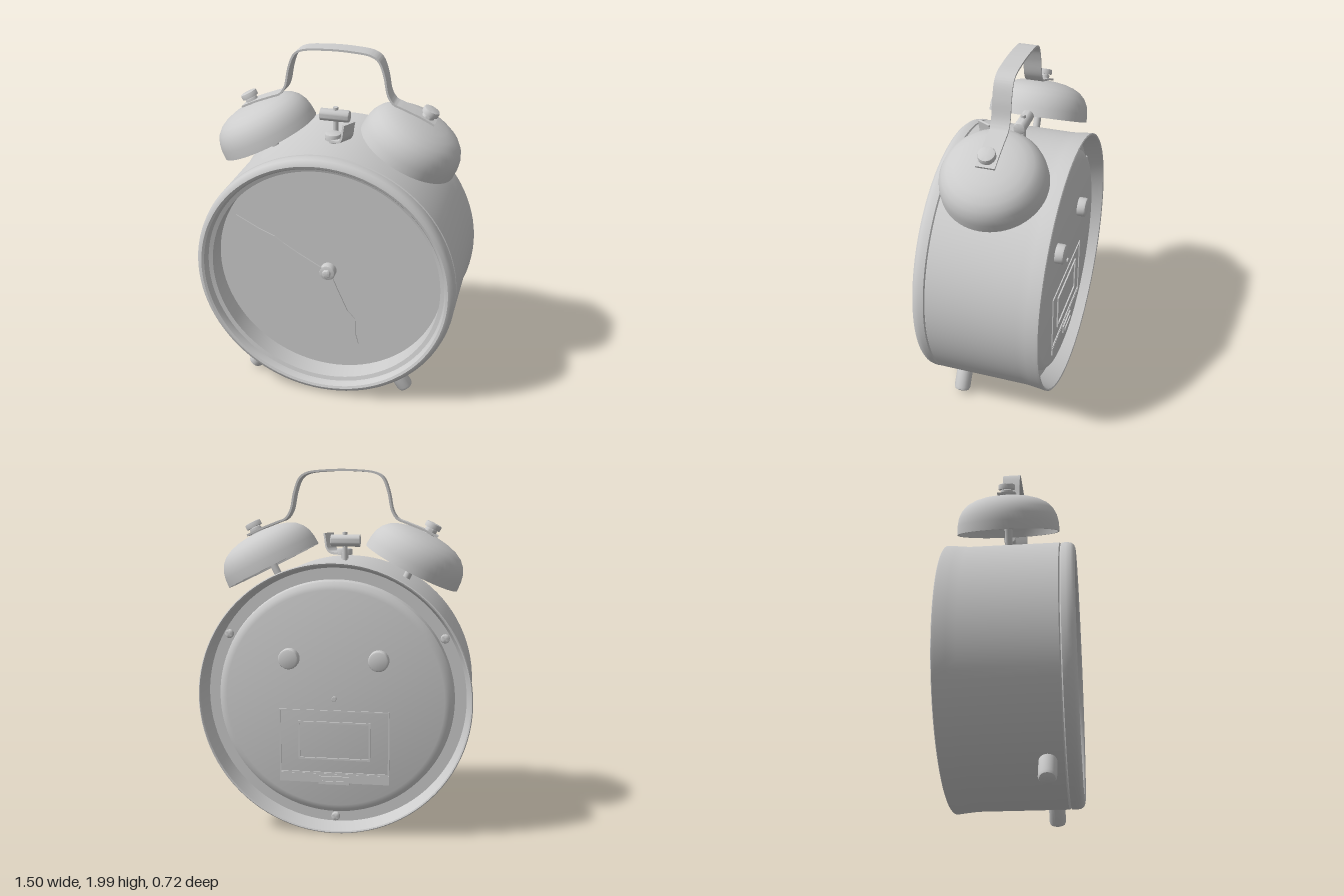
import * as THREE from 'three';
import { toCreasedNormals } from 'three/addons/utils/BufferGeometryUtils.js';

const metal = new THREE.MeshStandardMaterial({ color: 0xcccccc, side: THREE.DoubleSide });
metal.name = 'grey metal';
const CENTRE_Y = 0.76;

function add(parent, name, geometry, x = 0, y = 0, z = 0) {
  const mesh = new THREE.Mesh(geometry, metal);
  mesh.name = name;
  mesh.position.set(x, y, z);
  parent.add(mesh);
  return mesh;
}

function lathe(points, segments = 48) {
  const profile = points.map(([r, h]) => new THREE.Vector2(r, h));
  return toCreasedNormals(new THREE.LatheGeometry(profile, segments), 0.62);
}

// Disc or button with a softened top edge, standing on y = 0
function button(r, h, e = 0.008, segments = 24) {
  return lathe([[0, 0], [r, 0], [r, h - e], [r - e * 0.3, h - e * 0.3], [r - e, h], [0, h]], segments);
}

// Flat outline with a given thickness along z
function plate(points, depth, holes = []) {
  const shape = new THREE.Shape(points.map(([x, y]) => new THREE.Vector2(x, y)));
  holes.forEach(h => shape.holes.push(new THREE.Path(h.map(([x, y]) => new THREE.Vector2(x, y)))));
  return new THREE.ExtrudeGeometry(shape, { depth, bevelEnabled: false });
}

const rect = (x0, y0, x1, y1) => [[x0, y0], [x1, y0], [x1, y1], [x0, y1]];

// Bent metal strip: a smooth path in xy, thickened and given a width along z
function strip(points, thickness, width, samples = 64) {
  const curve = new THREE.CatmullRomCurve3(points.map(([x, y]) => new THREE.Vector3(x, y, 0)), false, 'centripetal');
  const outer = [], inner = [];
  for (let i = 0; i <= samples; i++) {
    const p = curve.getPoint(i / samples), t = curve.getTangent(i / samples);
    outer.push([p.x - t.y * thickness / 2, p.y + t.x * thickness / 2]);
    inner.unshift([p.x + t.y * thickness / 2, p.y - t.x * thickness / 2]);
  }
  const g = plate([...outer, ...inner], width).translate(0, 0, -width / 2);
  return toCreasedNormals(g, 0.6);
}

// Clock hand pointing up, from [half width, distance] pairs
function hand(half) {
  return plate([...half, ...half.slice().reverse().map(([w, d]) => [-w, d])], 0.008);
}

function buildCase(clock) {
  const parts = {
    backPanel: [[0, -0.31], [0.6, -0.31], [0.625, -0.303], [0.645, -0.285], [0.652, -0.25], [0.715, -0.25]],
    caseShell: [[0.715, -0.25], [0.725, -0.29], [0.738, -0.35], [0.745, -0.354], [0.75, -0.35], [0.75, -0.335],
      [0.744, -0.28], [0.739, -0.23], [0.739, 0.272], [0.73, 0.278]],
    bezel: [[0.73, 0.278], [0.738, 0.284], [0.74, 0.31], [0.735, 0.335], [0.723, 0.35], [0.706, 0.356],
      [0.692, 0.35], [0.683, 0.335], [0.68, 0.312], [0.657, 0.305], [0.655, 0.19]],
    dial: [[0.655, 0.19], [0, 0.19]],
  };
  for (const [name, profile] of Object.entries(parts))
    add(clock, name, lathe(profile, 96).rotateX(Math.PI / 2), 0, CENTRE_Y, 0);
}

function buildHands(clock) {
  const minute = hand([[0.012, 0], [0.01, 0.2], [0.014, 0.3], [0.021, 0.36], [0.008, 0.46], [0.003, 0.61]]);
  add(clock, 'minuteHand', minute, 0, CENTRE_Y, 0.225).rotation.z = Math.atan2(0.535, 0.3);
  const hour = hand([[0.012, 0], [0.014, 0.12], [0.02, 0.27], [0.045, 0.33], [0.012, 0.42], [0.003, 0.495]]);
  add(clock, 'hourHand', hour, 0, CENTRE_Y, 0.208).rotation.z = Math.atan2(-0.18, -0.46);
  add(clock, 'handHub', button(0.046, 0.045).rotateX(Math.PI / 2), 0, CENTRE_Y, 0.19);
  add(clock, 'handPin', button(0.024, 0.065).rotateX(Math.PI / 2), 0, CENTRE_Y, 0.19);
}

function buildBell(clock, side) {
  const bell = new THREE.Group();
  bell.name = side > 0 ? 'leftBell' : 'rightBell';
  bell.position.set(side * 0.392, 1.46, -0.01);
  bell.rotation.z = -side * 0.467;
  clock.add(bell);
  add(bell, 'bellDome', lathe([[0.275, 0], [0.284, 0], [0.281, 0.05], [0.272, 0.092], [0.252, 0.13], [0.222, 0.16],
    [0.18, 0.182], [0.13, 0.197], [0.07, 0.206], [0, 0.209]], 64));
  add(bell, 'bellPost', new THREE.CylinderGeometry(0.021, 0.021, 0.34, 20), 0, 0.04, 0);
  add(bell, 'lowerNut', button(0.034, 0.035), 0, 0.208, 0);
  add(bell, 'upperNut', button(0.046, 0.03), 0, 0.243, 0);
}

function buildHandle(clock) {
  const half = [[0.535, 1.632], [0.463, 1.667], [0.36, 1.708], [0.315, 1.727], [0.285, 1.77], [0.263, 1.87],
    [0.241, 1.934], [0.22, 1.962], [0.18, 1.981], [0.09, 1.991]];
  const path = [...half.map(([x, y]) => [-x, y]), [0, 1.994], ...half.slice().reverse()];
  add(clock, 'handle', strip(path, 0.011, 0.1, 110), 0, 0, -0.01);
}

function buildStriker(clock) {
  const z = -0.035;
  add(clock, 'strikerHead', button(0.034, 0.165).rotateZ(-Math.PI / 2), -0.105, 1.607, z);
  add(clock, 'strikerStem', new THREE.CylinderGeometry(0.014, 0.014, 0.19, 16), -0.02, 1.56, z);
  // Winged stop lever in front of the striker
  const lever = new THREE.Group();
  lever.name = 'stopLever';
  lever.position.set(0, 0, 0.09);
  lever.rotation.y = -0.5;
  clock.add(lever);
  const wing = [[-0.02, 1.527], [0.045, 1.527], [0.08, 1.535], [0.1, 1.56], [0.108, 1.6], [0.116, 1.64]];
  add(lever, 'leverWing', strip(wing, 0.012, 0.085, 24));
  add(lever, 'leverScrew', button(0.045, 0.035), 0, 1.52, 0);
  add(lever, 'leverPost', new THREE.CylinderGeometry(0.022, 0.022, 0.08, 16), 0, 1.49, 0);
}

function buildFoot(clock, side) {
  const foot = add(clock, side > 0 ? 'leftFoot' : 'rightFoot',
    button(0.047, 0.16, 0.022), side * 0.387, CENTRE_Y - 0.598, 0.19);
  foot.quaternion.setFromUnitVectors(new THREE.Vector3(0, 1, 0), new THREE.Vector3(side * 0.543, -0.84, 0).normalize());
}

function buildBack(clock) {
  const back = new THREE.Group();
  back.name = 'backDetails';
  clock.add(back);
  for (const x of [-0.245, 0.245])
    add(back, 'settingKnob', button(0.056, 0.05, 0.012).rotateX(-Math.PI / 2), x, 0.985, -0.31);
  // Battery door: raised border, window panel and latch
  const border = plate(rect(-0.305, 0.34, 0.305, 0.7), 0.006, [rect(-0.297, 0.348, 0.297, 0.692)]);
  add(back, 'batteryDoorBorder', border, 0, 0, -0.316);
  const windowFrame = plate(rect(-0.2, 0.42, 0.2, 0.635), 0.008, [rect(-0.19, 0.43, 0.19, 0.625)]);
  add(back, 'batteryWindowFrame', windowFrame, 0, 0, -0.318);
  add(back, 'batteryDoorLedge', new THREE.BoxGeometry(0.61, 0.05, 0.012), 0, 0.315, -0.312);
  add(back, 'batteryLatch', new THREE.BoxGeometry(0.17, 0.045, 0.024), 0, 0.305, -0.314);
  add(back, 'batteryLatchLip', new THREE.BoxGeometry(0.13, 0.014, 0.032), 0, 0.295, -0.316);
  add(back, 'doorScrew', button(0.014, 0.012, 0.004, 16).rotateX(-Math.PI / 2), 0, 0.765, -0.308);
  // Three screws around the rim
  for (const deg of [30, 150, 270]) {
    const a = THREE.MathUtils.degToRad(deg);
    add(back, 'rimScrew', button(0.024, 0.025, 0.01, 16).rotateX(-Math.PI / 2),
      Math.cos(a) * 0.685, CENTRE_Y + Math.sin(a) * 0.685, -0.248);
  }
}

export function createModel() {
  const clock = new THREE.Group();
  clock.name = 'alarmClock';
  buildCase(clock);
  buildHands(clock);
  buildHandle(clock);
  buildStriker(clock);
  buildBack(clock);
  for (const side of [-1, 1]) {
    buildBell(clock, side);
    buildFoot(clock, side);
  }
  return clock;
}
